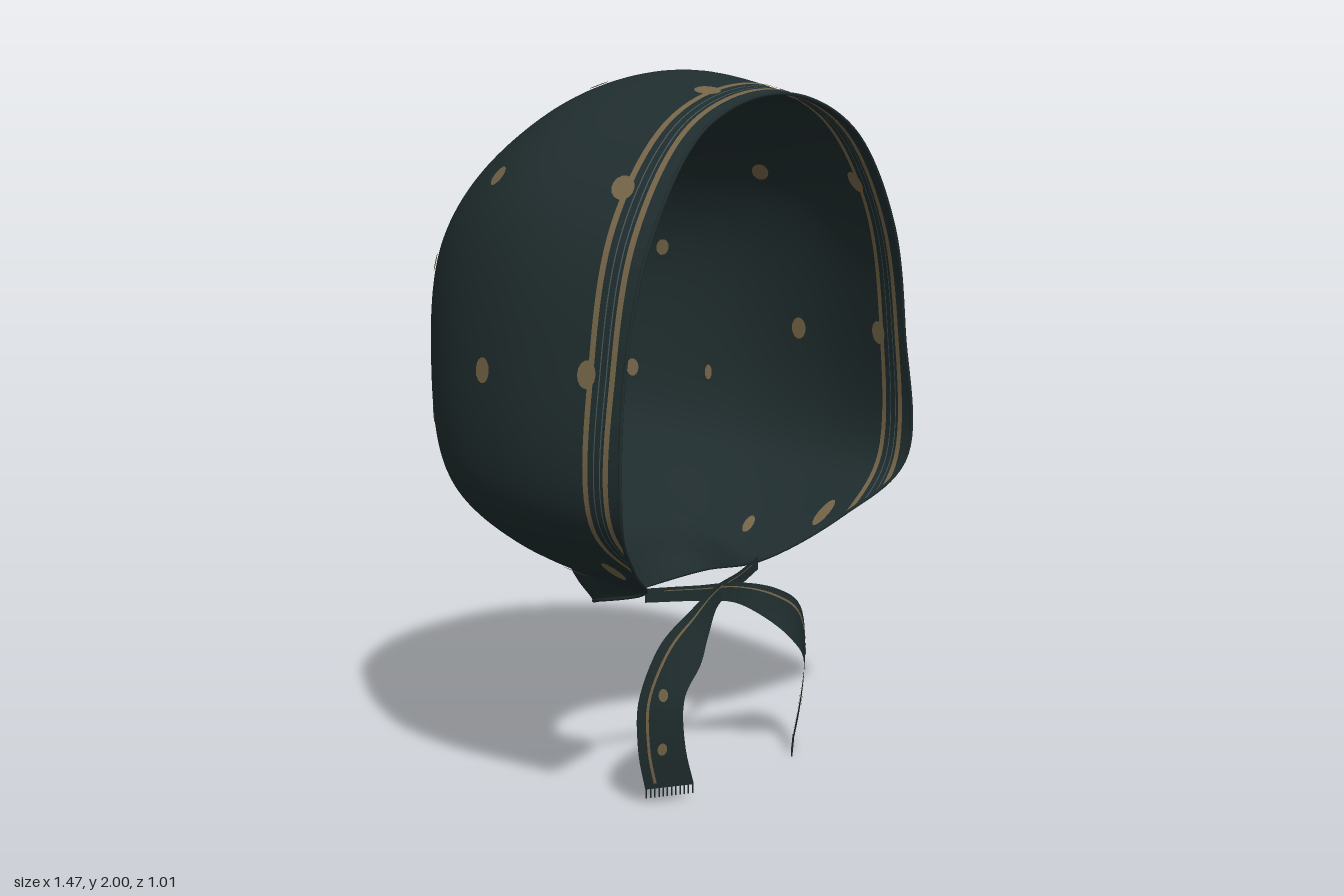
import * as THREE from 'three';
import { mergeVertices } from 'three/addons/utils/BufferGeometryUtils.js';

const V = (x, y, z) => new THREE.Vector3(x, y, z);
const material = (name, color) => Object.assign(
  new THREE.MeshStandardMaterial({ color, side: THREE.DoubleSide }), { name });

// Half of the hood: each row runs from the open edge towards the back of the head
const HALF = [
  [[0, 1.93, .5], [0, 2, .15], [0, 1.91, -.13], [0, 1.73, -.34], [0, 1.47, -.46]],
  [[.36, 1.83, .5], [.38, 1.91, .13], [.36, 1.82, -.13], [.3, 1.67, -.33], [.17, 1.43, -.465]],
  [[.575, 1.56, .5], [.64, 1.67, .13], [.6, 1.61, -.12], [.48, 1.5, -.32], [.26, 1.35, -.46]],
  [[.665, 1.24, .49], [.725, 1.28, .13], [.68, 1.24, -.12], [.51, 1.2, -.33], [.29, 1.2, -.46]],
  [[.682, .85, .492], [.698, .87, .13], [.645, .88, -.1], [.49, .93, -.3], [.25, 1.04, -.46]],
  [[.5, .69, .385], [.52, .7, .12], [.46, .72, -.08], [.34, .82, -.28], [.18, .97, -.46]],
  [[.28, .57, .24], [.31, .6, .1], [.31, .65, -.05], [.23, .78, -.25], [.12, .95, -.46]],
  [[.25, .52, .05], [.26, .57, -.01], [.25, .65, -.08], [.17, .77, -.25], [.08, .94, -.46]],
  [[0, .46, -.1], [0, .55, -.105], [0, .63, -.13], [0, .77, -.27], [0, .94, -.46]],
];
const ROWS = [...HALF, ...HALF.slice(1, 8).reverse().map(r => r.map(([x, y, z]) => [-x, y, z]))];
const RINGS = [0, 1, 2, 3, 4].map(k =>
  new THREE.CatmullRomCurve3(ROWS.map(r => V(...r[k])), true));
const POLE = V(0, 1.2, -.505);

// Curve from the open edge to the back of the head at position v around the edge
function meridian(v) {
  const w = ((v % 1) + 1) % 1;
  const pts = RINGS.map(r => r.getPoint(w));
  pts.push(POLE.clone(), RINGS[4].getPoint((w + .5) % 1));
  const curve = new THREE.CatmullRomCurve3(pts);
  const pleat = .005 * Math.max(0, -Math.cos(w * Math.PI * 2)) * Math.cos(w * Math.PI * 40);
  return u => {
    const p = curve.getPoint(u * 5 / 6);
    const out = V(p.x, p.y - 1.2, p.z).normalize();
    return p.addScaledVector(out, pleat * Math.min(1, u * 5) * (1 - u) ** 2);
  };
}

// Smooth surface through a list of cross-sections
function loft(sections) {
  const n = sections[0].length, pos = [], idx = [];
  sections.forEach(s => s.forEach(p => pos.push(p.x, p.y, p.z)));
  for (let i = 0; i < sections.length - 1; i++)
    for (let j = 0; j < n - 1; j++) {
      const a = i * n + j, b = a + n;
      idx.push(a, b, a + 1, b, b + 1, a + 1);
    }
  let g = new THREE.BufferGeometry();
  g.setAttribute('position', new THREE.Float32BufferAttribute(pos, 3));
  g.setIndex(idx);
  g = mergeVertices(g, 1e-5);
  g.computeVertexNormals();
  return g;
}

export function createModel() {
  const model = new THREE.Group();
  const fabric = material('dark green fabric', 0x1f2c2d);
  const brown = material('brown print', 0x736347);
  const blue = material('grey blue print', 0x465559);
  const add = (geo, mat, name, parent = model) => {
    const m = new THREE.Mesh(geo, mat);
    m.name = name;
    parent.add(m);
    return m;
  };

  // Hood cloth
  const sections = [];
  for (let i = 0; i <= 224; i++) {
    const f = meridian(i === 224 ? 0 : i / 224);
    sections.push(Array.from({ length: 45 }, (_, j) => f(j / 44)));
  }
  const shell = loft(sections);
  add(shell, fabric, 'hood');

  // Rolled hem along the open edge
  add(new THREE.TubeGeometry(RINGS[0], 200, .005, 6, true), fabric, 'hem');

  // Stripes behind the face opening, on both sides of the cloth
  const atZ = (f, z) => {
    if (f(0).z <= z) return f(0);
    let a = 0, b = .2;
    for (let i = 0; i < 18; i++) {
      const m = (a + b) / 2;
      if (f(m).z > z) a = m; else b = m;
    }
    return f(a);
  };
  const lift = (p, d) => p.clone().addScaledVector(V(p.x, p.y - 1.2, 0).normalize(), d);
  for (const [z, width, mat] of [[.46, .015, brown], [.4, .015, brown], [.443, .003, blue], [.425, .003, blue]]) {
    const pairs = [];
    for (let i = -50; i <= 50; i++) {
      const f = meridian(i / 50 * .33);
      pairs.push([atZ(f, z + width / 2), atZ(f, z - width / 2)]);
    }
    for (const d of [.004, -.004])
      add(loft(pairs.map(s => s.map(p => lift(p, d)))), mat, 'rimStripe');
  }

  // Printed dots laid on the nearest point of the cloth, outside and inside
  const P = shell.attributes.position, N = shell.attributes.normal;
  const dotShape = new THREE.CircleGeometry(1, 14);
  function dot(x, y, z, rx, ry) {
    const target = V(x, y, z), p = V(), n = V();
    let best = 0, bestD = 9;
    for (let i = 0; i < P.count; i++) {
      const d = p.fromBufferAttribute(P, i).distanceToSquared(target);
      if (d < bestD) { bestD = d; best = i; }
    }
    p.fromBufferAttribute(P, best);
    n.fromBufferAttribute(N, best).normalize();
    target.addScaledVector(n, -target.clone().sub(p).dot(n));
    for (const s of [1, -1]) {
      const m = add(dotShape, brown, 'dot');
      m.position.copy(target).addScaledVector(n, s * .004);
      m.lookAt(m.position.clone().addScaledVector(n, s));
      m.scale.set(rx, ry, 1);
    }
  }
  const dots = [
    [.2, 1.72, -.33], [.2, 1.96, .02, .028, .028], [.59, 1.71, .01], [.55, 1.69, .39, .03, .036],
    [.19, 1.93, .385, .036, .03], [.5, 1.47, -.3, .02, .026], [.18, 1.26, -.49, .027, .034],
    [.435, 1.09, -.37, .02, .028], [.73, 1.22, .07, .025, .034], [.7, 1.23, .39, .026, .036],
    [.61, 1.07, -.2, .011, .024], [.5, .69, .32, .02, .06], [.4, .655, .11, .016, .042],
  ];
  for (const [x, y, z, rx = .026, ry = .03] of dots)
    for (const s of [1, -1]) dot(s * x, y, z, rx, ry);

  // Ties: centre line and half-width vector, crossing under the chin
  const centre = [[-.27, .565, .24], [-.1, .55, .29], [.05, .53, .32], [.18, .475, .355],
    [.275, .41, .365], [.342, .3, .355], [.335, .16, .35], [.3, .04, .35]];
  const half = [[0, .02, 0], [0, .022, 0], [.01, .028, 0], [.03, .042, -.01],
    [.06, .035, -.025], [.056, .005, -.035], [.057, 0, -.037], [.06, 0, -.038]];
  for (const s of [1, -1]) {
    const tie = new THREE.Group();
    tie.name = s > 0 ? 'leftTie' : 'rightTie';
    model.add(tie);
    const dy = s > 0 ? -.01 : .01;
    const c = new THREE.CatmullRomCurve3(centre.map(([x, y, z], i) =>
      V(s * x, y + dy * i / 7, z + (s > 0 ? .008 * Math.sin(i / 7 * Math.PI) : 0))));
    const w = new THREE.CatmullRomCurve3(half.map(([x, y, z]) => V(s * x, y, z)));
    const at = (t, k, d = 0) => {
      const h = w.getPoint(t);
      const n = h.clone().cross(c.getTangent(t)).normalize();
      return c.getPoint(t).addScaledVector(h, k).addScaledVector(n, d);
    };
    const ribbon = (k0, k1, d, t0 = 0, t1 = 1) => loft(Array.from({ length: 41 }, (_, i) => {
      const t = t0 + (t1 - t0) * i / 40;
      return [0, .25, .5, .75, 1].map(q => at(t, k0 + (k1 - k0) * q, d));
    }));
    add(ribbon(-1, 1, 0), fabric, 'tieBand', tie);
    for (const d of [.003, -.003]) {
      add(ribbon(.5, .62, d, .05, .98), brown, 'tieStripe', tie);
      for (const t of [.7, .86]) {
        const m = add(dotShape, brown, 'tieDot', tie);
        m.position.copy(at(t, 0, d * 1.3));
        m.lookAt(at(t, 0, d * 100));
        m.scale.set(.014, .018, 1);
      }
    }
    // Frayed end
    for (let i = 0; i < 12; i++) {
      const thread = add(new THREE.BoxGeometry(.003, .026, .003), fabric, 'fringe', tie);
      thread.position.copy(at(1, -.95 + 1.9 * i / 11)).y -= .012;
    }
  }

  // Stand exactly on the ground
  model.position.y = -new THREE.Box3().setFromObject(model).min.y;
  return model;
}
